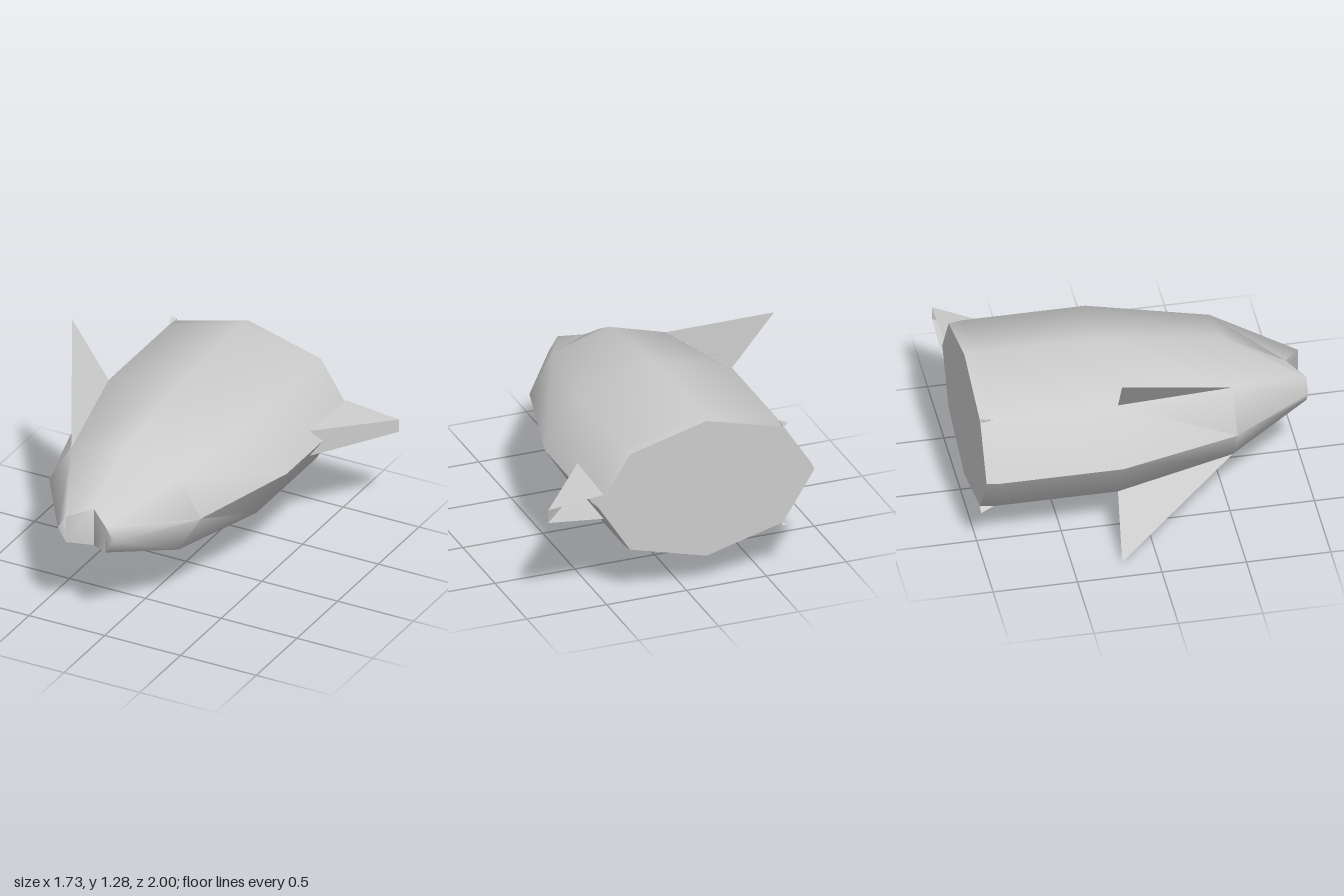
import * as THREE from 'three';
import { toCreasedNormals } from 'three/addons/utils/BufferGeometryUtils.js';

const CX = -0.125, CY = 0.645; // axis of the hull

const grey = new THREE.MeshStandardMaterial({ color: 0xcccccc, side: THREE.DoubleSide });
grey.name = 'hull grey';

// Mesh from corner points and faces; edges sharper than the crease stay hard
function makeMesh(name, points, faces, crease = 1.05) {
  const geo = new THREE.BufferGeometry();
  geo.setAttribute('position', new THREE.Float32BufferAttribute(points.flat(), 3));
  geo.setIndex(faces.flatMap(f => f.slice(2).flatMap((_, k) => [f[0], f[k + 1], f[k + 2]])));
  const mesh = new THREE.Mesh(toCreasedNormals(geo, crease), grey);
  mesh.name = name;
  return mesh;
}

// Eight-sided hull lofted through rings [z, half width, half height]
function makeHull() {
  const rings = [[-1, 0.677, 0.438], [-0.92, 0.688, 0.445], [-0.19, 0.688, 0.445], [0.52, 0.5, 0.345], [1, 0.185, 0.12]];
  const points = [], faces = [];
  rings.forEach(([z, w, h], r) => {
    for (let i = 0; i < 8; i++) {
      const a = i * Math.PI / 4;
      // top and bottom corners of the nose are set back to form a groove
      const nz = r === 4 && i % 4 === 2 ? 0.9 : z;
      points.push([CX + w * Math.cos(a), CY + h * Math.sin(a), nz]);
      if (r < 4) {
        const j = (i + 1) % 8, o = r * 8;
        faces.push([o + i, o + j, o + 8 + j, o + 8 + i]);
      }
    }
  });
  faces.push([7, 6, 5, 4, 3, 2, 1, 0]); // flat stern
  // grooved nose
  faces.push([32, 33, 39], [33, 34, 38, 39], [34, 35, 37, 38], [35, 36, 37]);
  return makeHull.mesh = makeMesh('hull', points, faces);
}

export function createModel() {
  const model = new THREE.Group();
  model.name = 'rocketHull';
  model.add(makeHull());

  // Blade fins and tiny stern spurs, mirrored above and below
  for (const s of [1, -1]) {
    const side = s > 0 ? 'upper' : 'lower';
    model.add(makeMesh(side + 'BladeFin', [
      [-0.865, CY + s * 0.64, -0.21],
      [-0.611, CY + s * 0.315, -0.185],
      [-0.479, CY + s * 0.244, 0.52],
    ], [s > 0 ? [0, 1, 2] : [0, 2, 1]]));
    model.add(makeMesh(side + 'SternSpur', [
      [-0.611, CY + s * 0.315, -0.92],
      [-0.637, CY + s * 0.335, -1],
      [-0.598, CY + s * 0.325, -1],
      [-0.6, CY + s * 0.3, -1],
    ], [[0, 1, 2], [0, 2, 3], [0, 3, 1]]));
  }

  // Swept wedge fin, open at the stern
  model.add(makeMesh('wedgeFin', [
    [0.51, CY + 0.083, -0.57], [0.51, CY - 0.083, -0.57],
    [0.867, CY - 0.041, -1], [0.867, CY + 0.041, -1],
    [0.52, CY + 0.078, -1], [0.52, CY - 0.078, -1],
  ], [[0, 1, 2, 3], [0, 3, 4], [1, 5, 2]]));

  return model;
}
